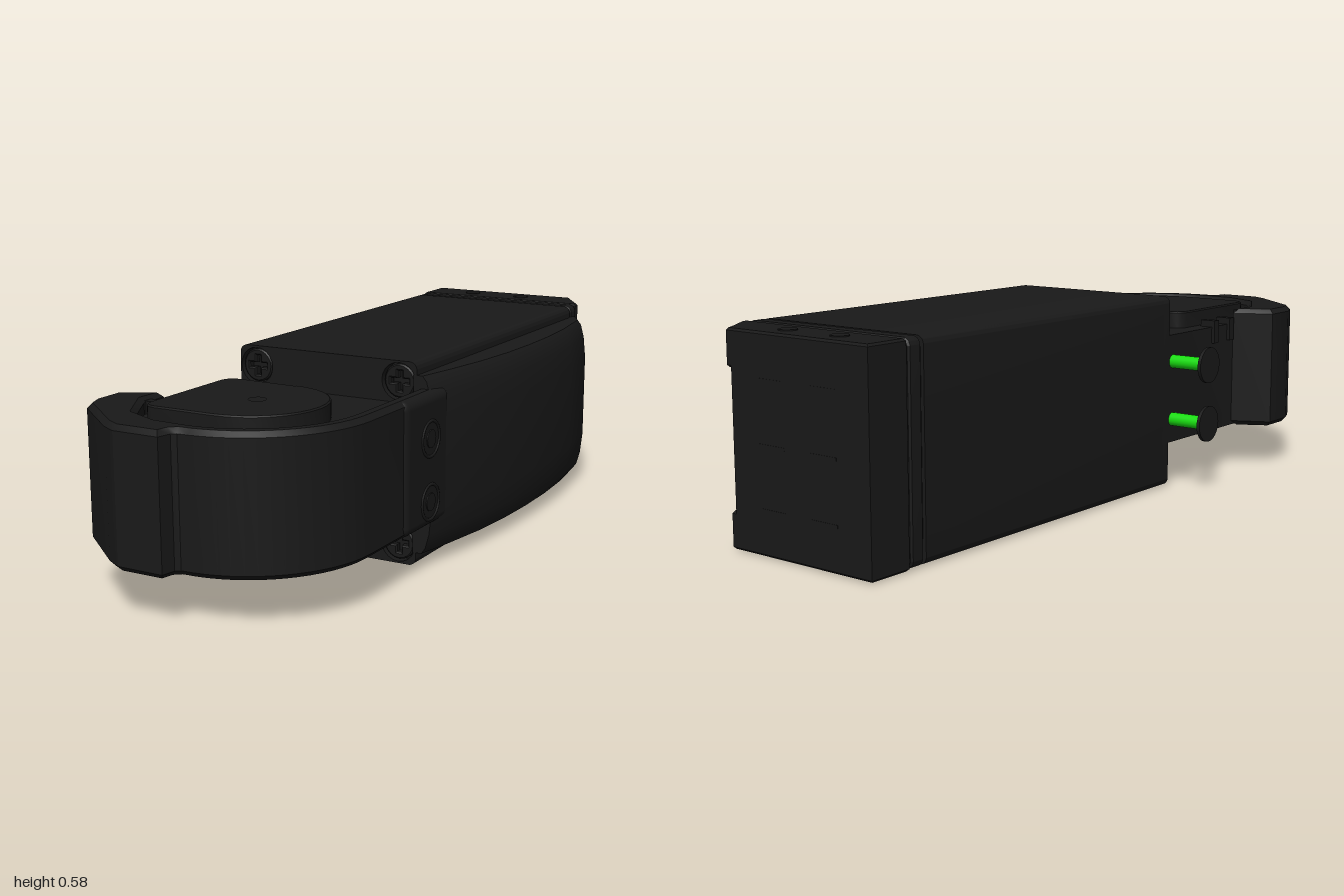
import * as THREE from 'three';
import { toCreasedNormals } from 'three/addons/utils/BufferGeometryUtils.js';
import { RoundedBoxGeometry } from 'three/addons/geometries/RoundedBoxGeometry.js';

const dark = new THREE.MeshStandardMaterial({ color: 0x191919 });
const green = new THREE.MeshStandardMaterial({ color: 0x18dd10 });

const V = (x, y) => new THREE.Vector2(x, y);

// arc points in plan (x, z), angles in degrees
function arc(cx, cz, r, from, to, n = 16) {
  return Array.from({ length: n + 1 }, (_, i) => {
    const a = THREE.MathUtils.degToRad(from + (to - from) * i / n);
    return [cx + r * Math.cos(a), cz + r * Math.sin(a)];
  });
}

function circleHole(x, y, r) {
  return new THREE.Path().absarc(x, y, r, 0, Math.PI * 2, true);
}

function extrude(shape, depth, bevel = 0) {
  const g = new THREE.ExtrudeGeometry(shape, {
    depth: depth - 2 * bevel, bevelEnabled: bevel > 0, bevelThickness: bevel,
    bevelSize: bevel, bevelOffset: -bevel, bevelSegments: 1, curveSegments: 10,
  });
  return toCreasedNormals(g.translate(0, 0, bevel), 0.5);
}

// plan outline (x, z) raised from y0 to y1
function slab(points, y0, y1, bevel = 0, holes = []) {
  const shape = new THREE.Shape(points.map(([x, z]) => V(x, -z)));
  shape.holes = holes.map(([x, z, r]) => circleHole(x, -z, r));
  return extrude(shape, y1 - y0, bevel).rotateX(-Math.PI / 2).translate(0, y0, 0);
}

function roundRect(x0, y0, x1, y1, r) {
  const s = new THREE.Shape();
  s.absarc(x1 - r, y0 + r, r, -Math.PI / 2, 0);
  s.absarc(x1 - r, y1 - r, r, 0, Math.PI / 2);
  s.absarc(x0 + r, y1 - r, r, Math.PI / 2, Math.PI);
  s.absarc(x0 + r, y0 + r, r, Math.PI, Math.PI * 1.5);
  s.closePath();
  return s;
}

// curved side cover: one section swept along z while its depth changes
function coverGeometry() {
  const stations = [[-0.85, 0.312], [-0.83, 0.33], [-0.78, 0.36], [-0.6, 0.386], [-0.45, 0.397],
    [-0.3, 0.4], [-0.15, 0.396], [0, 0.383], [0.15, 0.36], [0.27, 0.337]];
  const section = (X) => [[0.28, 0.038], [X - 0.03, 0.038], [X - 0.018, 0.055], [X - 0.007, 0.095], [X, 0.16],
    [X, 0.415], [X - 0.007, 0.48], [X - 0.018, 0.52], [X - 0.03, 0.535], [0.28, 0.535]];
  const pos = [], idx = [], n = 10, last = (stations.length - 1) * n;
  for (const [z, X] of stations) for (const [x, y] of section(X)) pos.push(x, y, z);
  for (let j = 0; j < stations.length - 1; j++) {
    for (let i = 0; i < n - 1; i++) {
      const a = j * n + i, b = a + 1, c = a + n, d = c + 1;
      idx.push(a, b, c, b, d, c);
    }
  }
  for (let i = 1; i < n - 1; i++) idx.push(0, i + 1, i, last, last + i, last + i + 1);
  const g = new THREE.BufferGeometry();
  g.setAttribute('position', new THREE.Float32BufferAttribute(pos, 3));
  g.setIndex(idx);
  return toCreasedNormals(g, 0.6);
}

export function createModel() {
  const model = new THREE.Group();
  const add = (name, geometry, material = dark, parent = model) => {
    const mesh = new THREE.Mesh(geometry, material);
    mesh.name = name;
    parent.add(mesh);
    return mesh;
  };
  const box = (name, x, y, z, w, h, d) => add(name, new THREE.BoxGeometry(w, h, d).translate(x, y, z));
  const rodX = (name, r, x0, x1, y, z, material) =>
    add(name, new THREE.CylinderGeometry(r, r, x1 - x0, 24).rotateZ(Math.PI / 2).translate((x0 + x1) / 2, y, z), material);

  // main housing, with a front plate pierced for the screws
  const rect = () => roundRect(-0.275, 0, 0.29, 0.57, 0.022);
  const screwSpots = [];
  for (const x of [-0.22, 0.235]) for (const y of [0.057, 0.513]) screwSpots.push([x, y]);
  add('housing', extrude(rect(), 1.05).translate(0, 0, -0.81));
  const plate = rect();
  plate.holes = screwSpots.map(([x, y]) => circleHole(x, y, 0.052));
  add('frontPlate', extrude(plate, 0.03).translate(0, 0, 0.24));
  add('rearBand', extrude(rect(), 0.045, 0.005).translate(0, 0, -0.862));
  add('rearCore', extrude(roundRect(-0.265, 0.01, 0.28, 0.56, 0.02), 0.1).translate(0, 0, -0.9));

  // cross-head screws
  const cross = () => {
    const a = 0.007, b = 0.028;
    return new THREE.Path([[a, a], [a, b], [-a, b], [-a, a], [-b, a], [-b, -a], [-a, -a], [-a, -b],
      [a, -b], [a, -a], [b, -a], [b, a]].map(([x, y]) => V(x, y)));
  };
  for (const [x, y] of screwSpots) {
    const head = new THREE.Shape().absarc(0, 0, 0.047, 0, Math.PI * 2);
    head.holes.push(cross());
    add('frontScrew', extrude(head, 0.025, 0.004).translate(x, y, 0.24));
  }

  // curved side cover
  add('sideCover', coverGeometry());

  // end cap: full layers above and below, cut back in the middle
  const capEdge = [[-0.275, -0.87], [-0.275, -1]];
  const capFull = [...capEdge, [0.215, -1], [0.235, -0.965], [0.285, -0.89], [0.285, -0.87]];
  const capMiddle = [...capEdge, [0.2, -1], [0.205, -0.93], [0.275, -0.885], [0.275, -0.87]];
  add('capBottom', slab(capFull, 0, 0.1, 0.006));
  add('capMiddle', slab(capMiddle, 0.09, 0.48));
  add('capTop', slab(capFull, 0.47, 0.57, 0.006));
  for (const x of [-0.12, 0.06]) {
    for (const y of [0.003, 0.567]) {
      add('capPlug', new THREE.CylinderGeometry(0.025, 0.025, 0.012, 20).translate(x, y, -0.935));
    }
    for (const y of [0.12, 0.285, 0.45]) box('capRib', x, y, -0.999, 0.09, 0.008, 0.004);
  }

  // bracket shell: curved wall ending in an angular nose
  const shell = [[0.34, 0.2], ...arc(0, 0.61, 0.34, 0, 90), [-0.012, 0.96], [-0.02, 1], [-0.155, 1],
    [-0.2, 0.975], [-0.365, 0.84], [-0.385, 0.79], [-0.385, 0.69], [-0.275, 0.635], [-0.275, 0.72],
    [-0.2, 0.85], [-0.1, 0.895], ...arc(0, 0.61, 0.29, 90, 0), [0.29, 0.2]];
  add('bracketShell', slab(shell, 0.128, 0.5, 0.014));

  // recessed floor inside the shell and the pivot block on it
  const floor = [[0.305, 0.2], ...arc(0, 0.61, 0.305, 0, 90), [-0.1, 0.91], [-0.22, 0.87],
    [-0.29, 0.72], [-0.275, 0.64], [-0.275, 0.2]];
  const bore = [0.005, 0.61, 0.028];
  add('bracketCore', slab(floor, 0.13, 0.455, 0, [bore]));
  const pivot = [[0, 0.42], ...arc(0, 0.61, 0.195, -90, 90), ...arc(-0.18, 0.765, 0.04, 90, 180, 5),
    ...arc(-0.18, 0.455, 0.04, 180, 270, 5)];
  add('pivotBlock', slab(pivot, 0.45, 0.505, 0.004, [bore]));
  for (const z of [0.52, 0.61]) box('edgeClip', -0.26, 0.44, z, 0.05, 0.07, 0.025);
  box('edgeClip', -0.27, 0.465, 0.7, 0.05, 0.05, 0.025);

  // side lug with two round fasteners
  add('sideLug', new RoundedBoxGeometry(0.06, 0.372, 0.26, 3, 0.028).translate(0.319, 0.314, 0.315));
  for (const y of [0.2, 0.375]) {
    add('fastenerRing', new THREE.TorusGeometry(0.049, 0.005, 8, 28).rotateY(Math.PI / 2).translate(0.348, y, 0.3));
    rodX('fastenerHead', 0.025, 0.33, 0.352, y, 0.3);
    // push pin on the opposite side
    rodX('pinShaft', 0.02, -0.395, -0.25, y, 0.29, green);
    rodX('pinHead', 0.053, -0.404, -0.394, y, 0.29);
  }

  return model;
}
